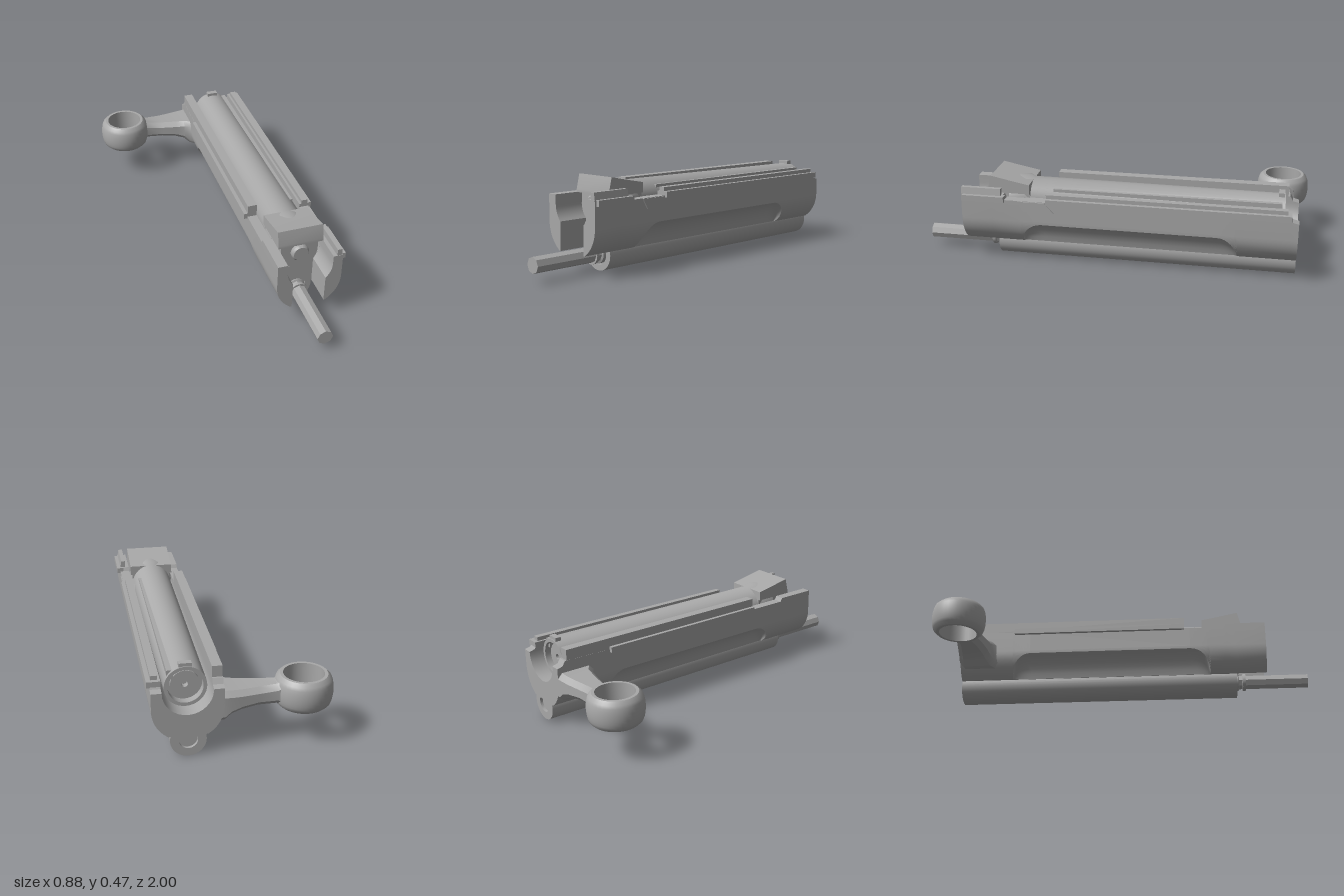
import * as THREE from 'three';
import { toCreasedNormals } from 'three/addons/utils/BufferGeometryUtils.js';

const CX = 0.2525; // centre line of the carrier
const steel = new THREE.MeshStandardMaterial({ color: 0xa8a8a8 });
steel.name = 'steel grey';

// Solid through counter-clockwise outlines [x, y] placed at rising z
function loft(sections) {
  const n = sections[0].pts.length, pos = [], idx = [];
  sections.forEach(s => s.pts.forEach(([x, y]) => pos.push(x, y, s.z)));
  for (let i = 0; i < sections.length - 1; i++) {
    for (let j = 0; j < n; j++) {
      const a = i * n + j, b = i * n + (j + 1) % n;
      idx.push(a, b, b + n, a, b + n, a + n);
    }
  }
  const cap = (k, flip) => {
    const pts = sections[k].pts.map(p => new THREE.Vector2(p[0], p[1]));
    for (const [a, b, c] of THREE.ShapeUtils.triangulateShape(pts, [])) {
      idx.push(k * n + a, k * n + (flip ? c : b), k * n + (flip ? b : c));
    }
  };
  cap(0, true);
  cap(sections.length - 1, false);
  const g = new THREE.BufferGeometry();
  g.setAttribute('position', new THREE.Float32BufferAttribute(pos, 3));
  g.setIndex(idx);
  return g;
}

function prism(pts, z0, z1) {
  const shape = new THREE.Shape(pts.map(p => new THREE.Vector2(p[0], p[1])));
  return new THREE.ExtrudeGeometry(shape, { depth: z1 - z0, bevelEnabled: false }).translate(0, 0, z0);
}

function block(x0, x1, y0, y1, z0, z1) {
  return new THREE.BoxGeometry(x1 - x0, y1 - y0, z1 - z0)
    .translate((x0 + x1) / 2, (y0 + y1) / 2, (z0 + z1) / 2);
}

// Turned part along z: profile of [radius, z]
function turned(profile, y, sides = 40) {
  return new THREE.LatheGeometry(profile.map(p => new THREE.Vector2(p[0], p[1])), sides)
    .rotateX(Math.PI / 2).translate(0, y, 0);
}

// Carrier wall: straight sides over a round belly
const halfWidth = y => y >= 0.25 ? 0.168 : Math.sqrt(0.168 ** 2 - (0.25 - y) ** 2);
const NECK = 0.085, INNER = 0.118, INNER_Y = 0.335;

// Right outer edge, from the bottom up; below "cut" a hollow curve runs in to the neck
function outerEdge(top, cut) {
  const pts = [[NECK, 0.11]];
  const w = halfWidth(cut), bx = NECK + 0.2 * (w - NECK), by = 0.11 + 0.72 * (cut - 0.11);
  for (let i = 1; i <= 6; i++) {
    const t = i / 6, u = 1 - t;
    pts.push([u * u * NECK + 2 * u * t * bx + t * t * w, u * u * 0.11 + 2 * u * t * by + t * t * cut]);
  }
  for (let i = 1; i <= 8; i++) {
    const y = cut + (0.25 - cut) * i / 8;
    pts.push([halfWidth(y), y]);
  }
  pts.push([0.168, top]);
  return pts;
}

function carrierSection(z, top, cut) {
  const right = outerEdge(top, cut);
  const left = right.map(([x, y]) => [-x, y]).reverse();
  const inner = [[INNER, top]];
  for (let i = 0; i <= 16; i++) {
    const a = -Math.PI * i / 16;
    inner.push([INNER * Math.cos(a), Math.min(top - 0.001, INNER_Y + INNER * Math.sin(a))]);
  }
  inner.push([-INNER, top]);
  return { z, pts: [...left, ...right, ...inner] };
}

export function createModel() {
  const model = new THREE.Group();
  model.name = 'boltCarrier';
  const body = new THREE.Group();
  body.name = 'carrierAssembly';
  body.position.x = CX;
  model.add(body);

  function add(name, geo, parent = body, crease = 0.55) {
    const mesh = new THREE.Mesh(toCreasedNormals(geo, crease), steel);
    mesh.name = name;
    parent.add(mesh);
    return mesh;
  }

  // U-shaped carrier with a long hollow relief low on both sides
  const sections = [
    carrierSection(-0.945, 0.337, 0.11),
    carrierSection(-0.915, 0.345, 0.11),
    carrierSection(-0.9, 0.37, 0.11)
  ];
  for (let i = 0; i <= 8; i++) {
    const t = Math.PI / 2 * i / 8;
    sections.push(carrierSection(-0.55 - 0.1 * Math.cos(t), 0.365, 0.11 + 0.125 * Math.sin(t)));
  }
  for (let i = 8; i >= 0; i--) {
    const t = Math.PI / 2 * i / 8;
    sections.push(carrierSection(0.35 + 0.11 * Math.cos(t), 0.36, 0.11 + 0.125 * Math.sin(t)));
  }
  sections.push(carrierSection(0.54, 0.36, 0.11), carrierSection(0.55, 0.38, 0.11),
    carrierSection(0.61, 0.38, 0.11));
  add('carrierBody', loft(sections));

  // Two front prongs, split along the bottom
  const prong = outerEdge(0.38, 0.11).slice(6);
  prong.push([INNER, 0.38]);
  for (let i = 0; i <= 6; i++) {
    const a = -0.767 * i / 6;
    prong.push([INNER * Math.cos(a), INNER_Y + INNER * Math.sin(a)]);
  }
  prong.push([NECK, 0.11]);
  const mirrored = prong.map(([x, y]) => [-x, y]).reverse();
  add('leftProng', prism(prong, 0.6, 0.77));
  add('rightProng', prism(mirrored, 0.6, 0.77));
  add('prongRidge', prism([[0.138, 0.37], [0.168, 0.37], [0.16, 0.415], [0.138, 0.415]], 0.56, 0.768));
  add('prongLip', block(0.15, 0.186, 0.35, 0.38, 0.54, 0.76));

  // Guide rails along the wall tops
  add('rightLip', block(-0.186, -0.118, 0.35, 0.38, -0.64, 0.32));
  add('rightRail', block(-0.167, -0.118, 0.36, 0.425, -0.89, 0.32));
  add('leftLip', block(0.118, 0.183, 0.35, 0.38, -0.91, 0.32));
  add('leftRail', block(0.13, 0.162, 0.37, 0.4, -0.89, 0.32));

  // Slanted locking lug on the left wall
  add('lockingLug', prism([[-0.47, 0.358], [-0.44, 0.305], [-0.28, 0.305], [-0.33, 0.358]], 0.1, 0.174)
    .rotateY(Math.PI / 2));

  // Lower tube, with a shallow bore at the back
  add('lowerTube', turned([[0, -0.93], [0.045, -0.93], [0.045, -0.945], [0.085, -0.945],
    [0.085, 0.605], [0.055, 0.605], [0.055, 0.59], [0, 0.59]], 0.088));

  // Front rod with its collar
  add('rodCollar', turned([[0.048, 0.58], [0.048, 0.615], [0.036, 0.62], [0.036, 0.635],
    [0.048, 0.64], [0.048, 0.655], [0, 0.655]], 0.088, 24));
  add('frontRod', turned([[0.04, 0.58], [0.04, 1], [0, 1]], 0.088, 8));

  // Bolt, slightly tapered, with a recessed rear face and a front shoulder
  add('bolt', turned([[0, -0.82], [0.015, -0.82], [0.015, -0.85], [0.068, -0.85], [0.068, -0.835],
    [0.083, -0.835], [0.083, -0.875], [0.1, -0.875], [0.108, 0.42], [0.12, 0.45], [0.12, 0.53],
    [0, 0.53]], 0.325));
  add('extractorBar', block(0.055, 0.085, 0.36, 0.405, -0.86, 0.3));
  add('rearNib', block(-0.03, 0.03, 0.41, 0.44, -0.87, -0.84));

  // Bolt head: wedge-topped block over a round-bottomed nose
  add('boltHead', prism([[-0.622, 0.47], [-0.64, 0.395], [-0.64, 0.38], [-0.42, 0.38],
    [-0.42, 0.43], [-0.5, 0.445]], -0.118, 0.118).rotateY(Math.PI / 2));
  const noseSection = (z, r) => {
    const pts = [[r, 0.39], [-r, 0.39]];
    for (let i = 0; i <= 16; i++) {
      const a = Math.PI * (1 + i / 16);
      pts.push([r * Math.cos(a), 0.325 + r * Math.sin(a)]);
    }
    return { z, pts };
  };
  add('boltNose', loft([noseSection(0.42, 0.108), noseSection(0.6, 0.108), noseSection(0.625, 0.098)]));
  add('firingPin', turned([[0.046, 0.58], [0.046, 0.64], [0.038, 0.65], [0, 0.65]], 0.33));

  // Handle arm: chamfered sections [x, yLow, yHigh, zBack, zFront]
  const arm = [
    [-0.2, 0.2, 0.325, -0.925, -0.8], [-0.17, 0.21, 0.31, -0.918, -0.808],
    [-0.08, 0.213, 0.306, -0.925, -0.79], [0, 0.204, 0.306, -0.937, -0.775],
    [0.05, 0.188, 0.308, -0.943, -0.765], [0.08, 0.163, 0.31, -0.945, -0.745],
    [0.12, 0.158, 0.312, -0.945, -0.72]
  ].map(([x, y0, y1, z0, z1]) => {
    const c = 0.025, u0 = -z1, u1 = -z0;
    return { z: x, pts: [[u0 + c, y0], [u1 - c, y0], [u1, y0 + c], [u1, y1 - c],
      [u1 - c, y1], [u0 + c, y1], [u0, y1 - c], [u0, y0 + c]] };
  });
  add('handleArm', loft(arm).rotateY(Math.PI / 2), model, 0.7);

  // Handle ring: barrel-shaped, open through the middle
  const ring = [];
  for (let i = 0; i <= 10; i++) {
    const t = -1 + i / 5;
    ring.push(new THREE.Vector2(0.112 + 0.028 * Math.sqrt(1 - t * t), 0.26 + 0.078 * t));
  }
  ring.push(new THREE.Vector2(0.097, 0.338), new THREE.Vector2(0.097, 0.182), ring[0].clone());
  add('handleRing', new THREE.LatheGeometry(ring, 36).translate(-0.305, 0, -0.86), model, 0.7);

  // Rest the lower tube on the ground
  model.children.forEach(c => { c.position.y -= 0.003; });
  return model;
}
